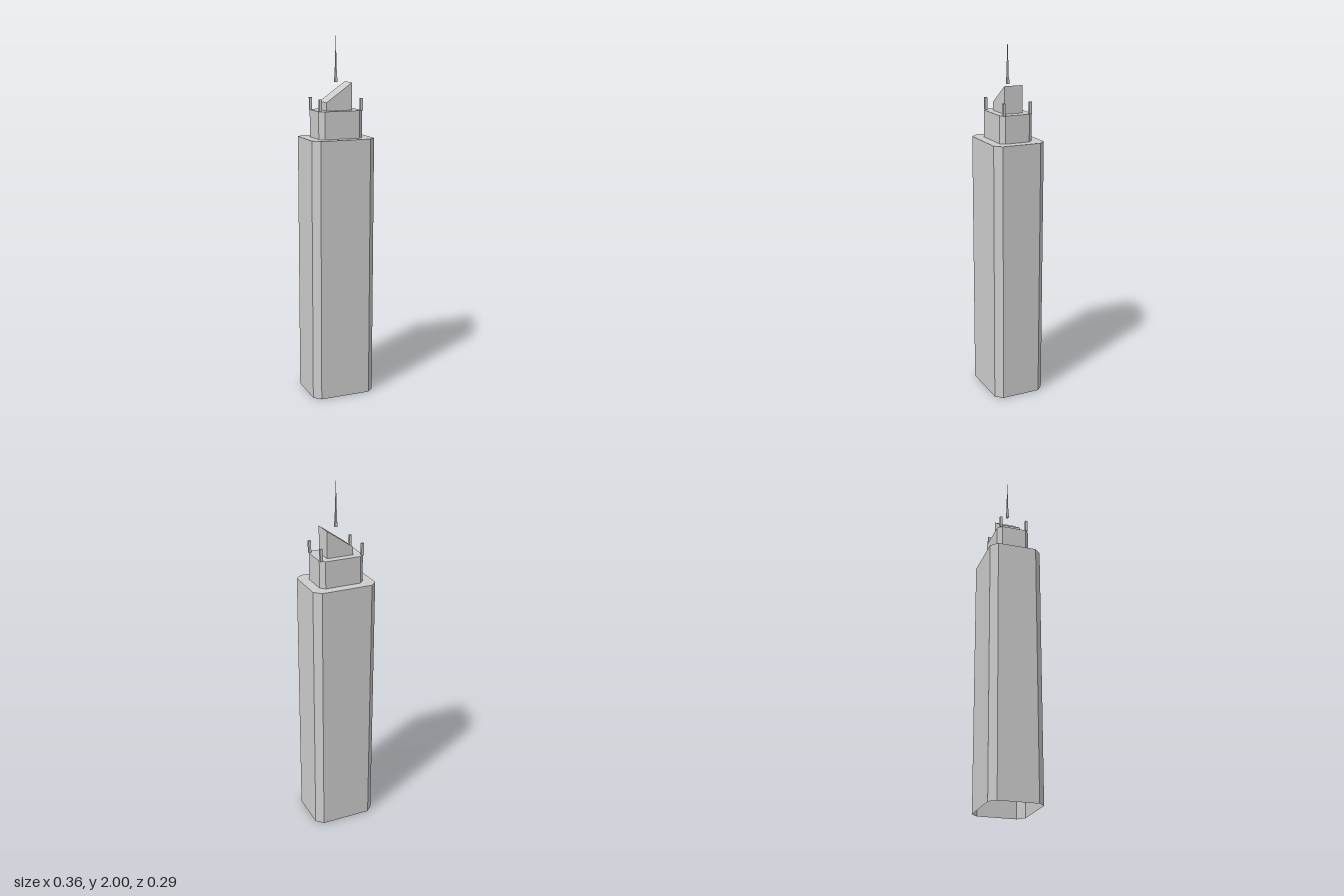
import * as THREE from 'three';

const concrete = new THREE.MeshStandardMaterial({ color: 0xcccccc, side: THREE.DoubleSide, flatShading: true });
concrete.name = 'concreteGrey';

function part(name, geometry, parent) {
  const mesh = new THREE.Mesh(geometry, concrete);
  mesh.name = name;
  parent.add(mesh);
  return mesh;
}

// Rectangle with cut corners, as a list of points in plan
function octagon(hx, hz, cut) {
  return [
    [hx - cut, -hz], [hx, cut - hz], [hx, hz - cut], [hx - cut, hz],
    [cut - hx, hz], [-hx, hz - cut], [-hx, cut - hz], [cut - hx, -hz],
  ].map(([x, z]) => new THREE.Vector2(x, z));
}

// Walls and flat roof over a plan outline, open underneath
function tier(name, outline, y0, y1, parent) {
  const group = new THREE.Group();
  group.name = name;
  parent.add(group);
  const pos = [];
  outline.forEach((a, i) => {
    const b = outline[(i + 1) % outline.length];
    pos.push(a.x, y0, a.y, a.x, y1, a.y, b.x, y1, b.y);
    pos.push(a.x, y0, a.y, b.x, y1, b.y, b.x, y0, b.y);
  });
  const walls = new THREE.BufferGeometry();
  walls.setAttribute('position', new THREE.Float32BufferAttribute(pos, 3));
  walls.computeVertexNormals();
  part(name + 'Walls', walls, group);
  const roof = new THREE.ShapeGeometry(new THREE.Shape(outline));
  roof.rotateX(-Math.PI / 2).translate(0, y1, 0);
  part(name + 'Roof', roof, group);
}

export function createModel() {
  const model = new THREE.Group();
  model.name = 'skyscraper';

  // Main shaft and the smaller setback above it
  tier('tower', octagon(0.18, 0.147, 0.037), 0, 1.453, model);
  tier('setback', octagon(0.125, 0.094, 0.025), 1.453, 1.602, model);

  // Corner posts
  for (const sx of [-1, 1]) for (const sz of [-1, 1]) {
    part('cornerPost', new THREE.BoxGeometry(0.014, 0.065, 0.014), model)
      .position.set(sx * 0.118, 1.6345, sz * 0.076);
  }

  // Sloping crown, high on the +x side
  const wedge = new THREE.Shape([
    [-0.074, 1.602], [0.074, 1.602], [0.074, 1.75], [-0.074, 1.646],
  ].map(([x, y]) => new THREE.Vector2(x, y)));
  const crown = new THREE.ExtrudeGeometry(wedge, { depth: 0.106, bevelEnabled: false });
  crown.translate(0, 0, -0.053);
  part('slopedCrown', crown, model);

  // Antenna: square foot and four-sided spire
  part('antennaFoot', new THREE.BoxGeometry(0.014, 0.025, 0.014), model).position.y = 1.7625;
  const spire = new THREE.ConeGeometry(0.0075, 0.225, 4);
  spire.rotateY(Math.PI / 4);
  part('antennaSpire', spire, model).position.y = 1.8875;

  return model;
}
